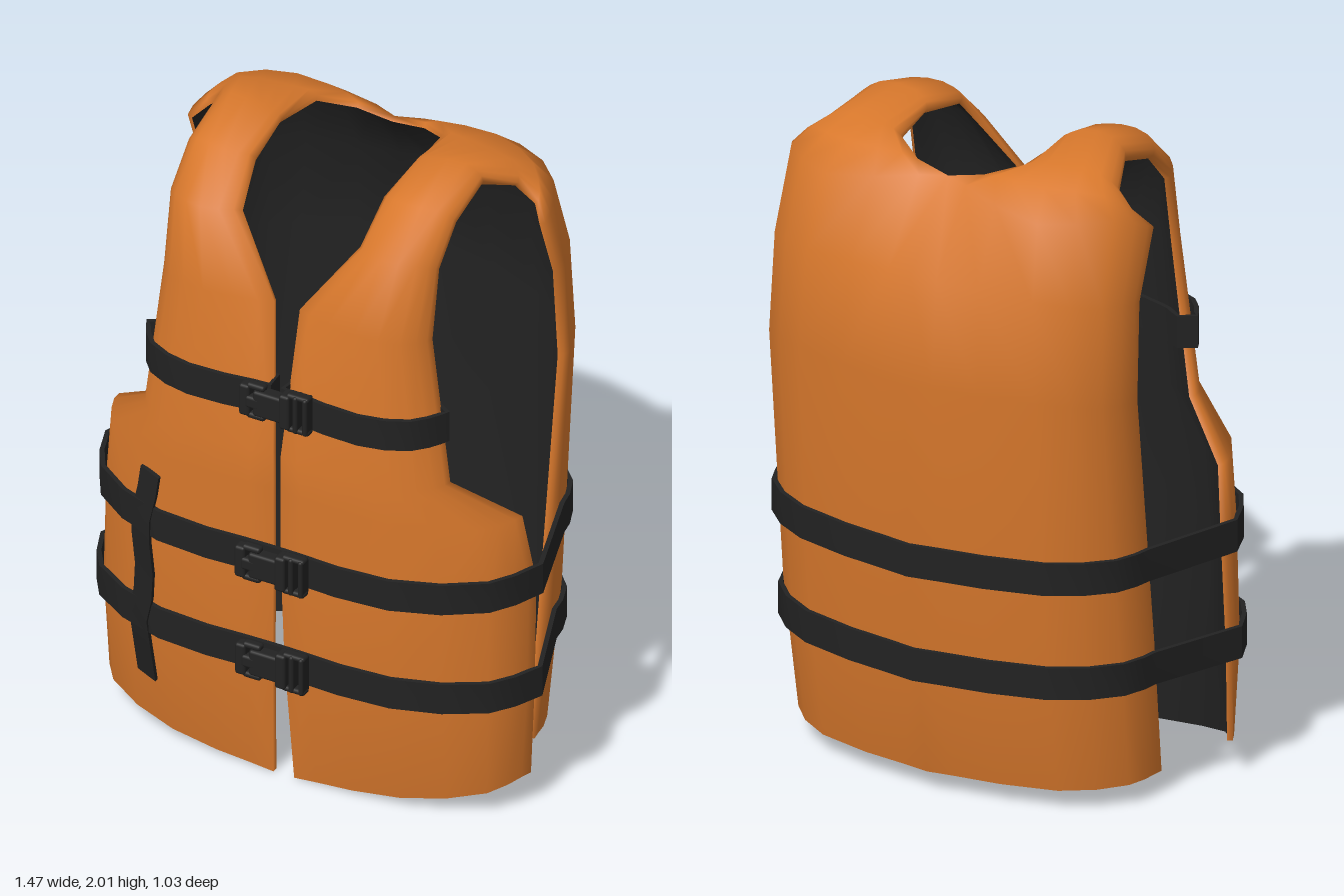
import * as THREE from 'three';
import { toCreasedNormals } from 'three/addons/utils/BufferGeometryUtils.js';
import { RoundedBoxGeometry } from 'three/addons/geometries/RoundedBoxGeometry.js';

const orange = new THREE.MeshStandardMaterial({ color: 0xd8782c, side: THREE.DoubleSide });
const black = new THREE.MeshStandardMaterial({ color: 0x222222, side: THREE.DoubleSide });
const V = (x, y, z) => new THREE.Vector3(x, y, z);

// Cross-sections of the left half: front hem, over the shoulder, down to the back hem.
// Each is a curve from the opening / neck / spine, over its crown, to the side / armhole.
const ROWS = [
  [[.035, 0, .40], [.38, .03, .385], [.71, .11, .18]],
  [[.02, .40, .43], [.38, .40, .425], [.715, .40, .165]],
  [[.012, .75, .44], [.38, .75, .435], [.71, .75, .145]],
  [[.012, 1.0, .44], [.37, 1.0, .435], [.68, .98, .175]],
  [[.012, 1.12, .44], [.30, 1.12, .45], [.51, 1.11, .30]],
  [[.04, 1.60, .38], [.25, 1.60, .42], [.45, 1.58, .30]],
  [[.19, 1.82, .29], [.30, 1.83, .35], [.45, 1.80, .26]],
  [[.21, 1.94, .18], [.30, 1.95, .21], [.45, 1.91, .16]],
  [[.22, 1.97, 0], [.28, 2.0, .02], [.45, 1.965, 0]],
  [[.21, 1.96, -.18], [.33, 1.965, -.16], [.50, 1.91, -.12]],
  [[.11, 1.93, -.25], [.33, 1.935, -.27], [.56, 1.86, -.13]],
  [[0, 1.905, -.27], [.36, 1.86, -.36], [.605, 1.81, -.10]],
  [[0, 1.66, -.475], [.38, 1.64, -.42], [.605, 1.60, -.18]],
  [[0, 1.33, -.515], [.40, 1.33, -.435], [.61, 1.30, -.20]],
  [[0, .50, -.455], [.40, .50, -.375], [.605, .50, -.095]],
  [[0, .06, -.39], [.40, .06, -.315], [.60, .07, -.045]],
];
const US = [0, .07, .18, .333, .5, .667, .82, .93, 1];
const NECK = 11; // from this row on the section starts on the spine

// The outer flank of each section is rounded away from the middle of the torso.
function section(v) {
  const i = Math.min(Math.floor(v), ROWS.length - 2), t = v - i;
  const [inner, crown, outer] = ROWS[i].map((p, k) => V(...p).lerp(V(...ROWS[i + 1][k]), t));
  const flank = crown.clone().lerp(outer, .6);
  const away = flank.clone().sub(V(.25, Math.min(flank.y, 1.6), 0)).normalize();
  flank.addScaledVector(away, .16 * crown.distanceTo(outer));
  const curve = new THREE.CatmullRomCurve3([inner, crown, flank, outer]);
  return US.map(u => curve.getPoint(u));
}

// Foam thickness: plump in the middle of the front panels, thin at edges, shoulders and back.
const depth = (v, j) =>
  .03 + .03 * THREE.MathUtils.clamp(Math.min(6 - v, 2 * v), 0, 2) * Math.sin(Math.PI * US[j]);

// Surface through a grid of points; side = -1 mirrors it in x.
function gridGeometry(grid, side = 1, flip = false) {
  const n = grid[0].length, pos = [], idx = [];
  grid.flat().forEach(p => pos.push(p.x * side, p.y, p.z));
  for (let i = 0; i < grid.length - 1; i++)
    for (let j = 0; j < n - 1; j++) {
      const a = i * n + j, b = a + 1, c = b + n, d = a + n;
      if ((side < 0) !== flip) idx.push(a, c, b, a, d, c);
      else idx.push(a, b, c, a, c, d);
    }
  const g = new THREE.BufferGeometry();
  g.setAttribute('position', new THREE.Float32BufferAttribute(pos, 3));
  g.setIndex(idx);
  g.computeVertexNormals();
  // continuous shading across the spine
  const N = g.attributes.normal;
  for (let k = 0; k < N.count; k++)
    if (Math.abs(pos[k * 3]) < 1e-4) {
      const w = V(0, N.getY(k), N.getZ(k)).normalize();
      N.setXYZ(k, w.x, w.y, w.z);
    }
  return g;
}

function add(parent, name, geometry, material) {
  const m = new THREE.Mesh(geometry, material);
  m.name = name;
  parent.add(m);
  return m;
}

// Padded half: shell with a turned-in rim, and the dark lining behind it.
function addVestHalf(parent, side) {
  const P = ROWS.map((_, i) => section(i)), R = P.length - 1, C = US.length - 1;
  const at = (i, j) => P[Math.min(R, Math.max(0, i))][Math.min(C, Math.max(0, j))];
  const inward = (i, j, d) => {
    const n = at(i, j + 1).clone().sub(at(i, j - 1)).cross(at(i + 1, j).clone().sub(at(i - 1, j)));
    if (j === 0 && i >= NECK) n.x = 0;
    return P[i][j].clone().addScaledVector(n.normalize(), -d);
  };
  const inner = P.map((row, i) => row.map((_, j) => inward(i, j, depth(i, j))));
  const outer = P.map((row, i) => row.map((_, j) => {
    const spine = j === 0 && i > NECK;
    const edge = (j === 0 && !spine) || j === C || i === 0 || i === R;
    return inward(i, j, edge ? .012 : 0);
  }));
  const shell = outer.map((row, i) =>
    [i > NECK ? row[0] : inner[i][0], ...row, inner[i][C]]);
  const hem = i => [inner[i][0], ...inner[i], inner[i][C]];
  shell.unshift(hem(0));
  shell.push(hem(R));
  const name = side > 0 ? 'left' : 'right';
  add(parent, name + 'Shell', gridGeometry(shell, side), orange);
  add(parent, name + 'Lining', gridGeometry(inner, side, true), black);
}

// Offset a plan path of [x, z] points to its outer side.
function offset(pts, d, closed) {
  const n = pts.length;
  return pts.map((p, i) => {
    const a = pts[closed ? (i + n - 1) % n : Math.max(0, i - 1)];
    const b = pts[closed ? (i + 1) % n : Math.min(n - 1, i + 1)];
    const tx = b[0] - a[0], tz = b[1] - a[1], l = Math.hypot(tx, tz) || 1;
    return [p[0] - tz / l * d, p[1] + tx / l * d];
  });
}

// Closed webbing loop of the given plan path.
function webbing(path, y, height) {
  const toV2 = p => new THREE.Vector2(...p);
  const shape = new THREE.Shape(offset(path, .007, true).map(toV2));
  shape.holes.push(new THREE.Path(offset(path, -.007, true).map(toV2)));
  const g = new THREE.ExtrudeGeometry(shape, { depth: height, bevelEnabled: false });
  g.rotateX(Math.PI / 2).translate(0, y + height / 2, 0);
  return toCreasedNormals(g, .6);
}

const plan = v => section(v).map(p => [p.x, p.z]);

function waistPath(vFront, vBack) {
  const front = offset(plan(vFront), .014, false);
  const back = offset(plan(vBack).slice(0, -1).reverse(), .013, false);
  const half = [...front, ...back.slice(0, -1)];
  const mirrored = half.map(([x, z]) => [-x, z]).reverse();
  return [...half, [0, back[back.length - 1][1]], ...mirrored];
}

// Around one front panel, outside and inside.
function chestPath(side) {
  const v = 4.39, p = plan(v);
  const inside = p.map((_, j) => offset(p, -.012 - depth(v, j), false)[j]);
  const loop = [...offset(p, .013, false), ...inside.reverse()];
  return side > 0 ? loop : loop.map(([x, z]) => [-x, z]).reverse();
}

// Side-release buckle with a slotted adjuster.
function makeBuckle(y, z) {
  const b = new THREE.Group();
  b.name = 'buckle';
  const box = (name, w, h, d, x, yy, zz) =>
    add(b, name, new RoundedBoxGeometry(w, h, d, 2, .009), black).position.set(x, yy, zz);
  box('socket', .10, .085, .045, 0, 0, 0);
  box('socketCollar', .035, .115, .05, .055, 0, 0);
  box('clipBase', .035, .105, .04, -.08, 0, 0);
  box('clipTongue', .05, .04, .03, -.05, 0, .008);
  for (const s of [-1, 1]) {
    box('prong', .06, .02, .03, -.045, s * .05, 0);
    box('adjusterRail', .075, .018, .035, .095, s * .056, 0);
  }
  for (const x of [.09, .122]) box('adjusterBar', .016, .125, .045, x, 0, 0);
  b.position.set(0, y, z);
  return b;
}

// Wavy loose webbing end on the right front.
function looseEnd() {
  const spine = [[-.42, .93, .435], [-.43, .86, .435], [-.45, .77, .436], [-.452, .70, .433],
    [-.44, .59, .433], [-.446, .50, .43], [-.465, .42, .425], [-.46, .32, .41], [-.455, .20, .39]];
  const grid = spine.map(([x, y, z]) =>
    [[-.04, -.02], [.04, .018], [.04, .004], [-.04, -.034], [-.04, -.02]]
      .map(([dx, dz]) => V(x + dx, y, z + dz)));
  const end = row => row.map(() => row[0].clone().lerp(row[2], .5));
  return toCreasedNormals(gridGeometry([end(grid[0]), ...grid, end(grid[grid.length - 1])], 1, true), .6);
}

export function createModel() {
  const model = new THREE.Group();
  model.name = 'lifeVest';
  for (const side of [1, -1]) {
    addVestHalf(model, side);
    add(model, 'chestStrap', webbing(chestPath(side), 1.305, .1), black);
  }
  add(model, 'upperWaistStrap', webbing(waistPath(2.08, 13.67), .77, .1), black);
  add(model, 'lowerWaistStrap', webbing(waistPath(1.09, 14.16), .43, .1), black);
  for (const [y, z] of [[1.31, .464], [.77, .49], [.435, .487]]) model.add(makeBuckle(y, z));
  add(model, 'looseStrapEnd', looseEnd(), black);
  return model;
}
